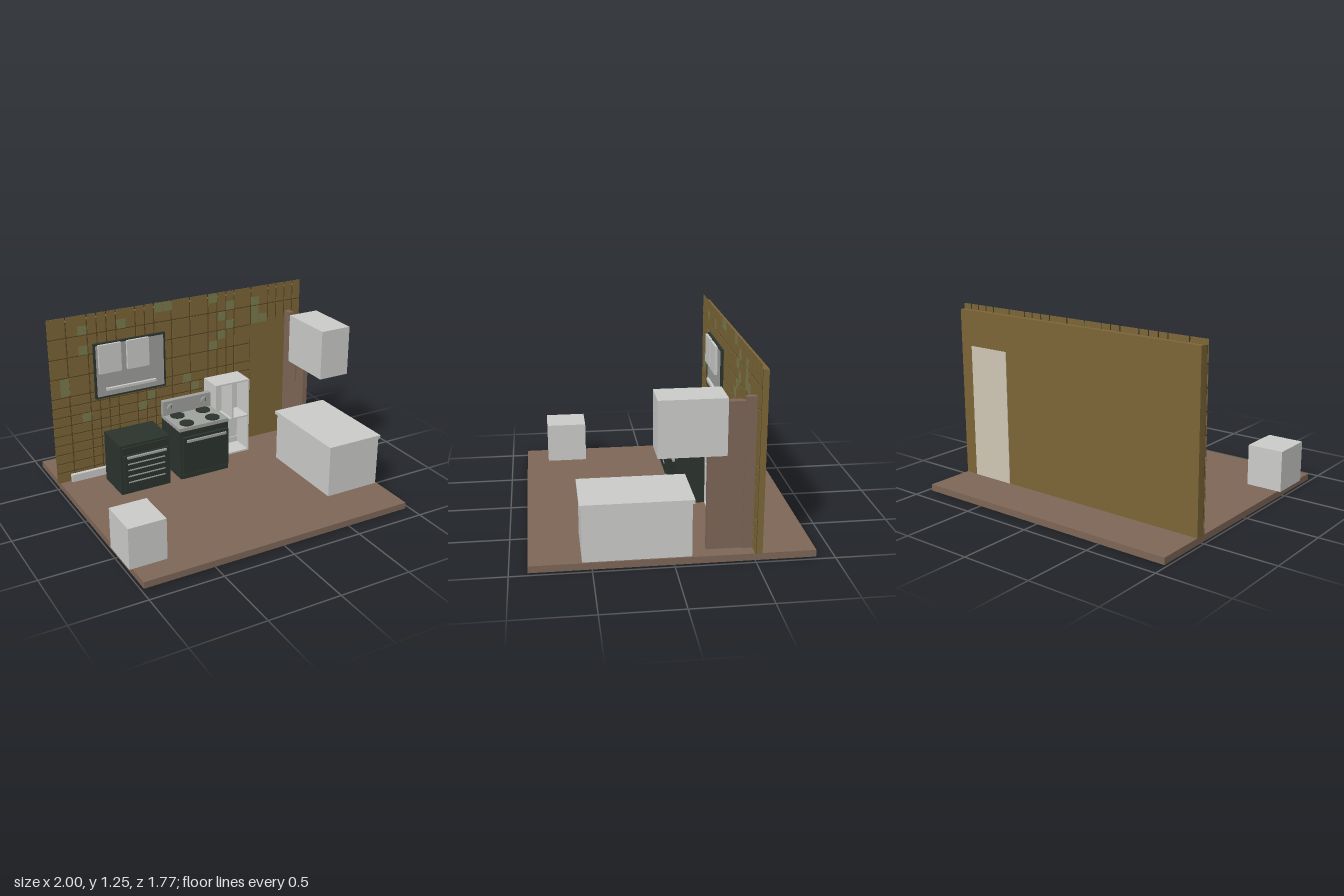
import * as THREE from 'three';

const mat = (name, color) => {
  const m = new THREE.MeshStandardMaterial({ color });
  m.name = name;
  return m;
};

export function createModel() {
  const root = new THREE.Group();
  root.name = 'kitchen';
  const brown = mat('wood brown', 0x7d6657);
  const gold = mat('wall ochre', 0x7c6537);
  const groutMat = mat('grout brown', 0x584526);
  const green = mat('tile green', 0x7a7c4c);
  const white = mat('cabinet white', 0xcbcbca);
  const steel = mat('steel grey', 0x9fa19d);
  const dark = mat('appliance dark green', 0x2b332d);
  const beige = mat('doorway beige', 0xcfc6b4);

  const group = (name) => {
    const g = new THREE.Group();
    g.name = name;
    root.add(g);
    return g;
  };
  // Box given by its lower and upper limits on each axis
  const box = (parent, name, m, x0, x1, y0, y1, z0, z1) => {
    const mesh = new THREE.Mesh(new THREE.BoxGeometry(x1 - x0, y1 - y0, z1 - z0), m);
    mesh.position.set((x0 + x1) / 2, (y0 + y1) / 2, (z0 + z1) / 2);
    mesh.name = name;
    parent.add(mesh);
    return mesh;
  };
  const F = 0.045; // floor level

  // Floor and back wall
  box(root, 'floor', brown, -0.98, 0.97, 0, F, -0.885, 0.885);
  const wall = group('wall');
  box(wall, 'wallSlab', gold, -0.98, 0.97, F, 1.215, -0.545, -0.506);
  box(wall, 'doorwayPanel', beige, 0.555, 0.875, F, 0.97, -0.549, -0.545);

  // Grout sheet around the doorway
  box(wall, 'groutLeft', groutMat, -0.995, 0.555, F, 1.215, -0.506, -0.503);
  box(wall, 'groutTop', groutMat, 0.555, 0.875, 0.97, 1.215, -0.506, -0.503);
  box(wall, 'groutRight', groutMat, 0.875, 0.975, F, 1.215, -0.506, -0.503);

  // Tiles laid on an uneven grid
  const xs = [-1, -0.87, -0.72, -0.65, -0.58, -0.51, -0.365, -0.295, -0.225, -0.09, 0.055,
    0.2, 0.275, 0.35, 0.415, 0.555, 0.7, 0.77, 0.84, 0.91, 0.98];
  const ys = [F, 0.12, 0.19, 0.26, 0.33, 0.4, 0.47, 0.54, 0.612, 0.682, 0.823, 0.965, 1.107, 1.25];
  const gap = 0.005;
  for (let i = 0; i < xs.length - 1; i++) {
    for (let j = 0; j < ys.length - 1; j++) {
      let x0 = xs[i] + (i ? gap : 0);
      const x1 = xs[i + 1] - gap;
      const besideDoor = ys[j] < 0.96;
      if (besideDoor && xs[i] > 0.55 && xs[i] < 0.83) continue;
      if (besideDoor && xs[i] === 0.84) x0 = 0.877;
      const y0 = ys[j] + (j ? gap : 0);
      const y1 = ys[j + 1] - (j < ys.length - 2 ? gap : 0);
      box(wall, 'tile', gold, x0, x1, y0, y1, -0.503, -0.499);
    }
  }
  // Green accent tiles, by centre
  const accents = [[-0.755, 1.143], [-0.755, 1.0], [-0.47, 1.143], [-0.19, 1.213], [-0.12, 1.213],
    [0.24, 1.213], [0.38, 1.143], [0.31, 1.07], [0.38, 1.0], [0.31, 0.93], [0.24, 0.86],
    [0.59, 1.143], [0.59, 1.07], [0.59, 1.005], [0.66, 1.005], [-0.9, 0.787], [-0.9, 0.725],
    [0.025, 0.647], [-0.26, 0.577], [-0.755, 0.507], [-0.33, 0.507], [0.09, 0.577], [0.48, 0.507]];
  for (const [x, y] of accents) {
    box(wall, 'accentTile', green, x - 0.032, x + 0.032, y - 0.032, y + 0.032, -0.5, -0.498);
  }
  box(wall, 'baseboard', white, -0.9, 0.535, F, 0.1, -0.5, -0.472);

  // Wall panel with dark frame, two shutters and a rail
  const hatch = group('wallUnit');
  box(hatch, 'frameBack', dark, -0.688, -0.153, 0.633, 1.035, -0.5, -0.488);
  for (const x of [-0.688, -0.165]) box(hatch, 'frameSide', dark, x, x + 0.012, 0.633, 1.035, -0.49, -0.478);
  for (const y of [0.633, 1.023]) box(hatch, 'frameRail', dark, -0.688, -0.153, y, y + 0.012, -0.49, -0.478);
  box(hatch, 'panel', steel, -0.676, -0.165, 0.645, 1.023, -0.49, -0.481);
  for (const x of [-0.66, -0.45]) box(hatch, 'shutter', white, x, x + 0.165, 0.82, 1.028, -0.485, -0.46);
  box(hatch, 'rail', white, -0.61, -0.235, 0.688, 0.706, -0.482, -0.462);

  // Dishwasher with slatted front
  const washer = group('dishwasher');
  box(washer, 'body', dark, -0.67, -0.3, F, 0.415, -0.41, -0.135);
  box(washer, 'topBand', dark, -0.66, -0.31, 0.35, 0.4, -0.135, -0.122);
  box(washer, 'door', dark, -0.65, -0.315, 0.07, 0.34, -0.135, -0.115);
  box(washer, 'handle', steel, -0.63, -0.34, 0.325, 0.338, -0.115, -0.098);
  for (let i = 0; i < 4; i++) {
    const y = 0.275 - i * 0.046;
    box(washer, 'slat', steel, -0.625, -0.348, y, y + 0.008, -0.115, -0.11);
  }

  // Stove with four burners
  const stove = group('stove');
  box(stove, 'body', dark, -0.212, 0.168, F, 0.41, -0.44, -0.145);
  box(stove, 'door', dark, -0.2, 0.16, 0.09, 0.37, -0.145, -0.122);
  box(stove, 'drawer', dark, -0.2, 0.16, 0.05, 0.082, -0.145, -0.13);
  box(stove, 'cooktop', steel, -0.215, 0.175, 0.41, 0.435, -0.44, -0.15);
  box(stove, 'handle', steel, -0.175, 0.135, 0.338, 0.355, -0.118, -0.105);
  for (const x of [-0.16, 0.11]) box(stove, 'handleMount', steel, x, x + 0.012, 0.34, 0.353, -0.125, -0.115);
  box(stove, 'backguard', steel, -0.215, 0.175, 0.435, 0.543, -0.44, -0.4);
  for (const x of [-0.125, 0.08]) {
    for (const z of [-0.36, -0.215]) {
      const b = new THREE.Mesh(new THREE.CylinderGeometry(0.052, 0.052, 0.006, 32), dark);
      b.name = 'burner';
      b.position.set(x, 0.438, z);
      stove.add(b);
    }
  }
  for (const x of [-0.157, 0.113]) {
    const knob = new THREE.Mesh(new THREE.CylinderGeometry(0.03, 0.03, 0.014, 24), steel);
    knob.name = 'knob';
    knob.rotation.x = Math.PI / 2;
    knob.position.set(x, 0.49, -0.394);
    stove.add(knob);
    box(stove, 'knobMark', dark, x - 0.002, x + 0.002, 0.49, 0.517, -0.388, -0.385);
  }

  // Open shelf unit
  const shelf = group('shelfUnit');
  box(shelf, 'back', white, 0.165, 0.445, F, 0.62, -0.497, -0.48);
  for (const x of [0.165, 0.435]) box(shelf, 'side', white, x, x + 0.01, F, 0.62, -0.497, -0.32);
  for (const y of [F, 0.325, 0.608]) box(shelf, 'board', white, 0.165, 0.445, y, y + 0.012, -0.497, -0.32);
  box(shelf, 'divider', white, 0.3, 0.312, 0.33, 0.612, -0.497, -0.32);

  // Counter, hanging cupboard and loose box
  const counter = group('counter');
  box(counter, 'base', white, 0.56, 0.96, F, 0.395, -0.11, 0.56);
  box(counter, 'top', white, 0.55, 0.967, 0.395, 0.42, -0.125, 0.57);
  box(root, 'hangingCupboard', white, 0.77, 1, 0.705, 1.06, -0.305, 0.108);
  box(root, 'cornerBox', white, -1, -0.745, F, 0.328, 0.44, 0.725);

  // Open door with its hinge post
  const door = group('door');
  box(door, 'leaf', brown, 0.84, 0.878, F, 1.0, -0.44, -0.21);
  box(door, 'edgeStrip', brown, 0.828, 0.84, 0.54, 1.0, -0.42, -0.3);
  box(door, 'post', brown, 0.85, 0.888, F, 1.028, -0.499, -0.435);

  return root;
}
